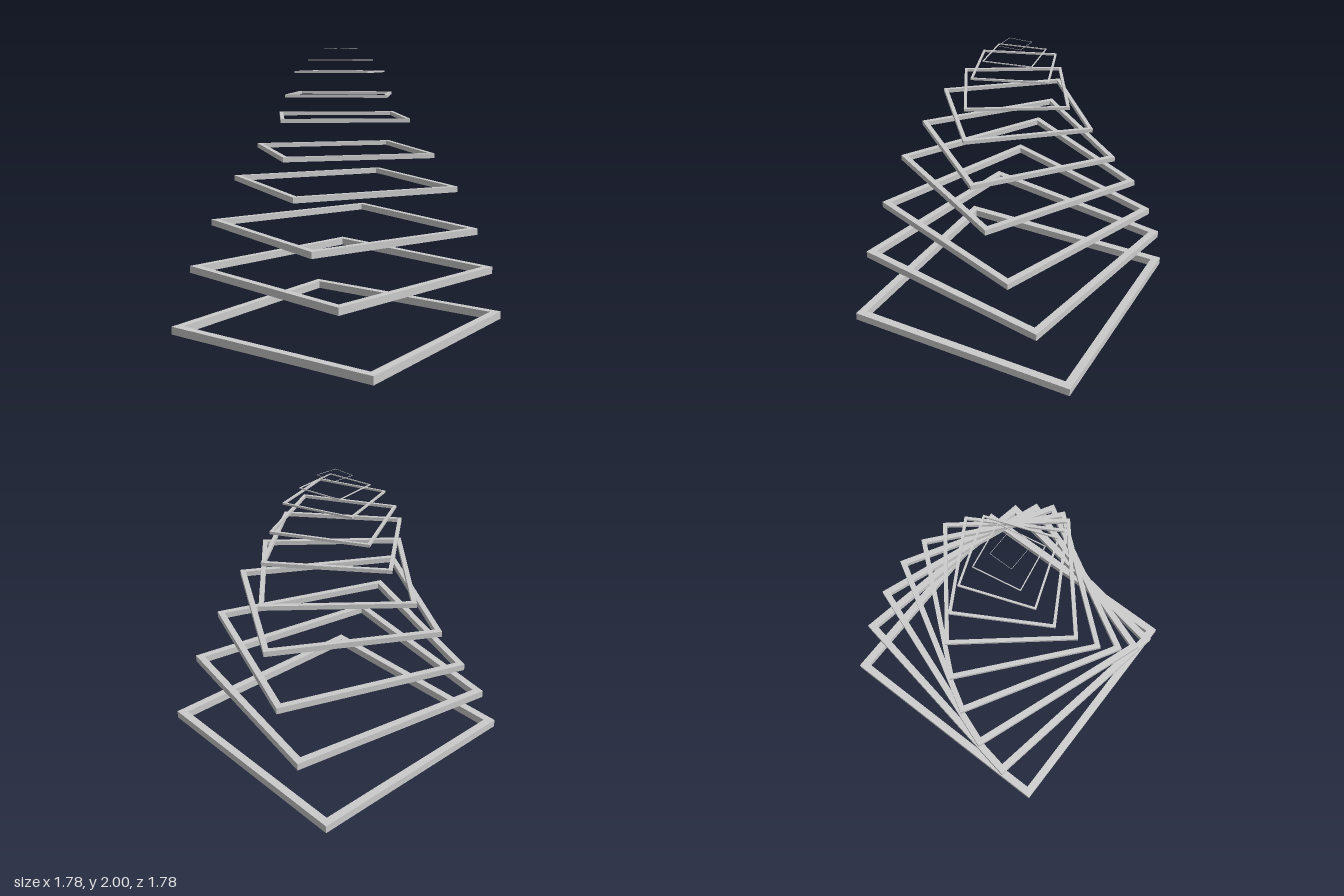
import * as THREE from 'three';

const COUNT = 10;
const STEP = 0.0787; // height of one rise unit

// Square ring with a square bar section, centred on its own origin
function frameGeometry(half, bar) {
  const square = (Path, r) => new Path([
    new THREE.Vector2(-r, -r), new THREE.Vector2(r, -r),
    new THREE.Vector2(r, r), new THREE.Vector2(-r, r),
  ]);
  const shape = square(THREE.Shape, half + bar / 2);
  shape.holes.push(square(THREE.Path, half - bar / 2));
  const geometry = new THREE.ExtrudeGeometry(shape, { depth: bar, bevelEnabled: false });
  geometry.translate(0, 0, -bar / 2);
  geometry.rotateX(-Math.PI / 2);
  return geometry;
}

export function createModel() {
  const model = new THREE.Group();
  model.name = 'twistedFrameTower';
  const material = new THREE.MeshStandardMaterial({ color: 0xcccccc, flatShading: true });

  // Frames shrink, thin out and turn ten degrees each, with gaps closing towards the top
  let y = 0.029;
  for (let i = 0; i < COUNT; i++) {
    const half = 0.827 * (1 - i / COUNT);
    const bar = Math.max(0.058 * (1 - i / (COUNT - 1)), 0.002);
    const frame = new THREE.Mesh(frameGeometry(half, bar), material);
    frame.name = `squareFrame${i + 1}`;
    frame.position.y = y;
    frame.rotation.y = -THREE.MathUtils.degToRad(10 * i);
    model.add(frame);
    y += STEP * Math.ceil((COUNT - 1 - i) / 2); // rises of 5, 4, 4, 3, 3, 2, 2, 1, 1 units
  }
  return model;
}
